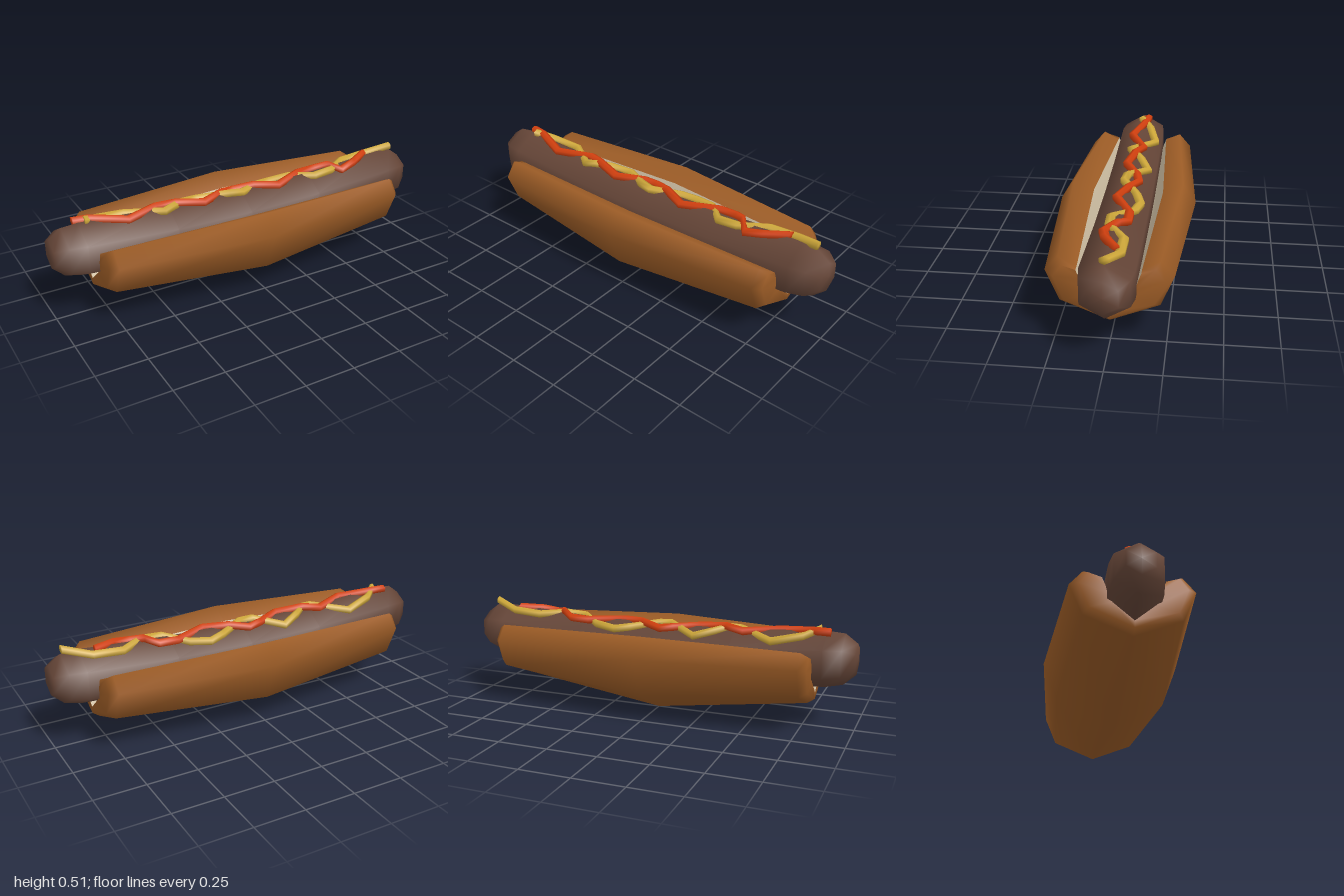
import * as THREE from 'three';

const mat = (name, color, side = THREE.FrontSide) => {
  const m = new THREE.MeshStandardMaterial({ color, side });
  m.name = name;
  return m;
};

// Skin a list of rings; each ring is a list of [x, y, z], counter-clockwise about +x
function loft(rings, closed) {
  const n = rings[0].length, pos = rings.flat(2), idx = [];
  for (let i = 0; i < rings.length - 1; i++) {
    for (let j = 0; j < (closed ? n : n - 1); j++) {
      const k = (j + 1) % n;
      const a = i * n + j, b = i * n + k, c = a + n, d = b + n;
      idx.push(a, b, c, b, d, c);
    }
  }
  const g = new THREE.BufferGeometry();
  g.setAttribute('position', new THREE.Float32BufferAttribute(pos, 3));
  g.setIndex(idx);
  g.computeVertexNormals();
  return g;
}

// Mirror a half section of [z, y] points, from lip to bottom, into a full U at x
const uRing = (x, half) => [
  ...half.map(([z, y]) => [x, y, z]),
  ...half.slice(0, -1).reverse().map(([z, y]) => [x, y, -z]),
];

// Regular polygon ring in the plane across x
const ring = (x, y, z, r, sides, wide = 1) => Array.from({ length: sides }, (_, i) => {
  const a = (i / sides) * Math.PI * 2;
  return [x, y + r * Math.cos(a), z + r * wide * Math.sin(a)];
});

export function createModel() {
  const group = new THREE.Group();
  const add = (name, geo, material) => {
    const m = new THREE.Mesh(geo, material);
    m.name = name;
    group.add(m);
  };
  const crust = mat('bun crust', 0x9c5c26, THREE.DoubleSide);
  const crumb = mat('bun crumb', 0xd0c0a4, THREE.DoubleSide);
  const meat = mat('sausage brown', 0x664638);
  const red = mat('ketchup red', 0xd2400f);
  const yellow = mat('mustard yellow', 0xcfa83a);

  // Bun: U sections, fullest in the middle, with rounded ends
  const outerMid = [[0.175, 0.385], [0.275, 0.435], [0.34, 0.335], [0.27, 0.14], [0, 0]];
  const outerEnd = [[0.14, 0.37], [0.22, 0.415], [0.28, 0.345], [0.22, 0.2], [0, 0.11]];
  const outerCap = [[0.14, 0.37], [0.2, 0.39], [0.24, 0.335], [0.195, 0.22], [0, 0.135]];
  const innerMid = [[0.175, 0.385], [0.15, 0.33], [0.13, 0.28], [0.1, 0.24], [0, 0.165]];
  const innerEnd = [[0.14, 0.37], [0.125, 0.33], [0.115, 0.29], [0.095, 0.25], [0, 0.168]];
  add('bunCrust', loft([
    uRing(-0.805, innerEnd), uRing(-0.805, outerCap), uRing(-0.77, outerEnd),
    uRing(0, outerMid),
    uRing(0.77, outerEnd), uRing(0.805, outerCap), uRing(0.805, innerEnd),
  ], false), crust);
  add('bunInside', loft([
    uRing(0.805, innerEnd), uRing(0.77, innerEnd), uRing(0, innerMid),
    uRing(-0.77, innerEnd), uRing(-0.805, innerEnd),
  ], false), crumb);

  // Sausage: six-sided, gently bent upward at its ends
  const bend = (x) => 0.302 + 0.05 * x * x;
  const half = [[0.4, 0.138], [0.85, 0.138], [0.935, 0.125], [0.995, 0.075], [1, 0.0005]];
  const stations = [...half.map(([x, r]) => [-x, r]).reverse(), [0, 0.138], ...half];
  add('sausage', loft(stations.map(([x, r]) => ring(x, bend(x), 0, r, 6)), true), meat);

  // Sauces: zigzag strands of [x, z] points lying on the sausage
  const sauce = (name, points, lift, material) => {
    const at = ([x, z], r) => ring(x, bend(x) + 0.138 - Math.abs(z) * 0.5 + lift, z, r, 6, 1.15);
    const first = points[0], last = points[points.length - 1];
    add(name, loft([
      at(first, 0.0005), ...points.map((p) => at(p, 0.021)), at(last, 0.0005),
    ], true), material);
  };
  sauce('ketchup', [
    [-0.87, -0.03], [-0.79, -0.02], [-0.62, 0.04], [-0.45, -0.035], [-0.36, -0.005],
    [-0.22, 0.03], [-0.09, -0.035], [-0.02, -0.05], [0.08, -0.015], [0.2, 0.035],
    [0.37, -0.045], [0.47, -0.045], [0.53, -0.005], [0.58, 0.05], [0.67, 0.03], [0.78, -0.025],
  ], 0.013, red);
  sauce('mustard', [
    [-0.82, 0], [-0.75, -0.05], [-0.6, -0.09], [-0.43, 0.03], [-0.37, 0.01],
    [-0.31, -0.035], [-0.21, -0.08], [-0.07, 0.01], [0, 0.02], [0.13, -0.055],
    [0.21, -0.08], [0.32, -0.06], [0.42, 0.035], [0.53, 0.03], [0.65, -0.05],
    [0.8, -0.05], [0.93, 0],
  ], 0.009, yellow);

  return group;
}
